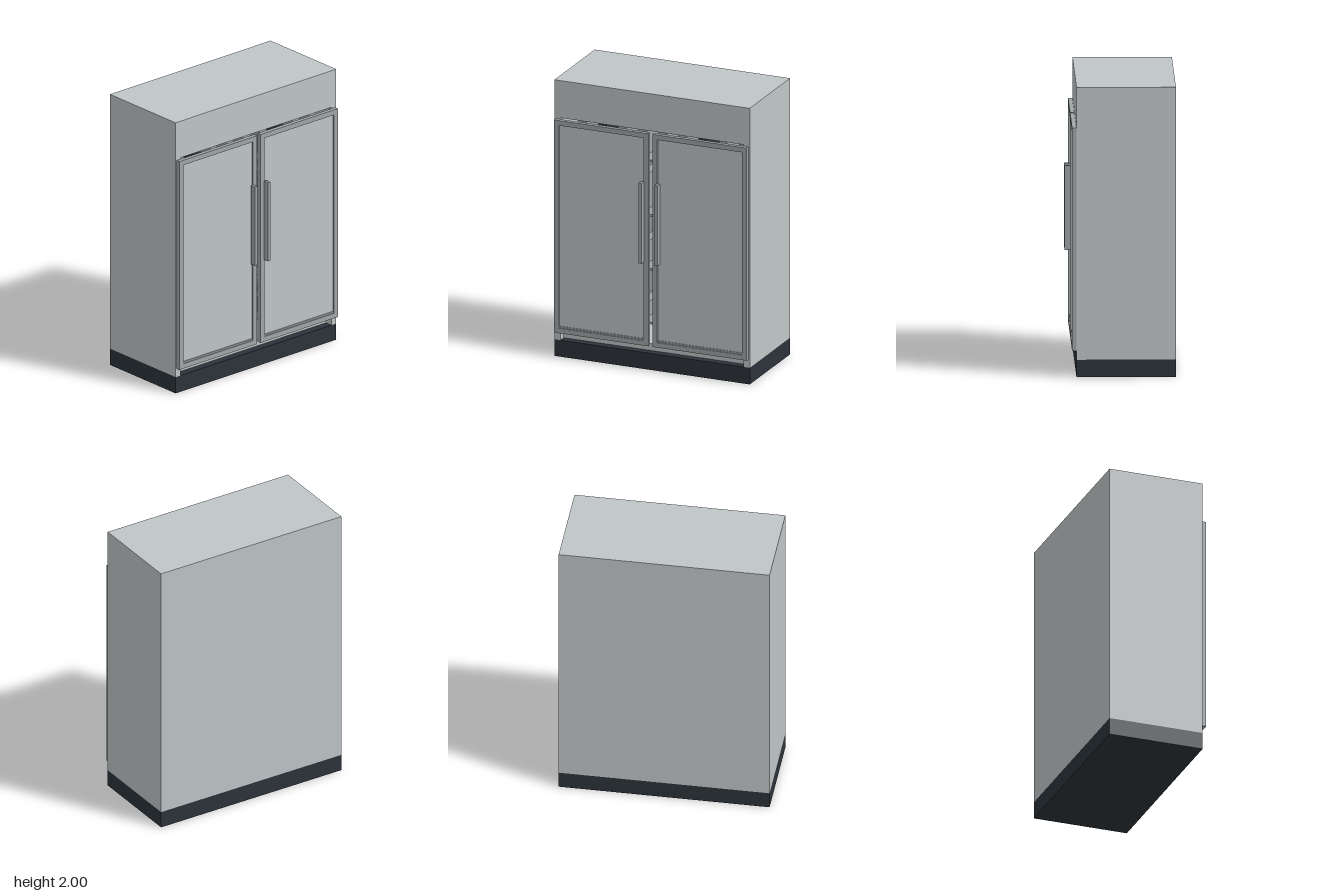
import * as THREE from 'three';

export function createModel() {
  const model = new THREE.Group();
  const material = (name, color) => {
    const m = new THREE.MeshStandardMaterial({ color });
    m.name = name;
    return m;
  };
  const steel = material('light steel', 0xc0c6c8);
  const trim = material('grey trim', 0xa1a7a9);
  const dark = material('dark base', 0x2c333a);

  // Box given by its minimum and maximum on each axis
  const box = (name, mat, x0, x1, y0, y1, z0, z1, parent = model) => {
    const mesh = new THREE.Mesh(new THREE.BoxGeometry(x1 - x0, y1 - y0, z1 - z0), mat);
    mesh.position.set((x0 + x1) / 2, (y0 + y1) / 2, (z0 + z1) / 2);
    mesh.name = name;
    parent.add(mesh);
    return mesh;
  };

  const W = 0.73, back = -0.375, front = 0.305, inner = 0.685;

  // Plinth and hollow cabinet
  box('base', dark, -W, W, 0, 0.12, back, front);
  box('topHousing', steel, -W, W, 1.73, 2, back, front);
  box('backWall', steel, -inner, inner, 0.12, 1.73, back, back + 0.04);
  box('rightWall', steel, -W, -inner, 0.12, 1.73, back, front);
  box('leftWall', steel, inner, W, 0.12, 1.73, back, front);
  box('cabinetFloor', steel, -inner, inner, 0.12, 0.17, back + 0.04, 0.25);

  // Shelves, each with a row of stored boxes
  const stock = new THREE.Group();
  stock.name = 'shelfContents';
  model.add(stock);
  [[0.31, 0.43], [0.70, 0.87], [1.09, 1.36], [1.485, 1.725]].forEach(([y, top], row) => {
    box('shelf', trim, -inner, inner, y, y + 0.015, back + 0.04, 0.25);
    for (let i = -4; i <= 4; i++) {
      const x = i * 0.15 + 0.005;
      const mat = row === 3 && (i === -3 || i === 2) ? dark : trim;
      box('storedBox', mat, x - 0.012, x + 0.05, y + 0.015, top, -0.05, 0.18, stock);
    }
  });

  // Framed doors with recessed panels and bar handles
  for (const side of [-1, 1]) {
    const door = new THREE.Group();
    door.name = side < 0 ? 'rightDoor' : 'leftDoor';
    const x0 = side < 0 ? -0.72 : 0.015, x1 = x0 + 0.705;
    const y0 = 0.18, y1 = 1.72, f = 0.036;
    const shape = new THREE.Shape([
      new THREE.Vector2(x0, y0), new THREE.Vector2(x1, y0),
      new THREE.Vector2(x1, y1), new THREE.Vector2(x0, y1),
    ]);
    shape.holes.push(new THREE.Path([
      new THREE.Vector2(x0 + f, y0 + f), new THREE.Vector2(x0 + f, y1 - f),
      new THREE.Vector2(x1 - f, y1 - f), new THREE.Vector2(x1 - f, y0 + f),
    ]));
    const frame = new THREE.Mesh(
      new THREE.ExtrudeGeometry(shape, { depth: 0.03, bevelEnabled: false }), trim);
    frame.position.z = front;
    frame.name = 'doorFrame';
    door.add(frame);
    box('doorPanel', steel, x0 + f, x1 - f, y0 + f, y1 - f, front + 0.002, 0.323, door);
    box('panelSill', trim, x0 + f, x1 - f, y0 + f, y0 + f + 0.012, 0.323, 0.328, door);
    const h = side * 0.06;
    box('handle', trim, h - 0.011, h + 0.011, 0.785, 1.367, 0.335, 0.375, door);
    model.add(door);
  }
  return model;
}
